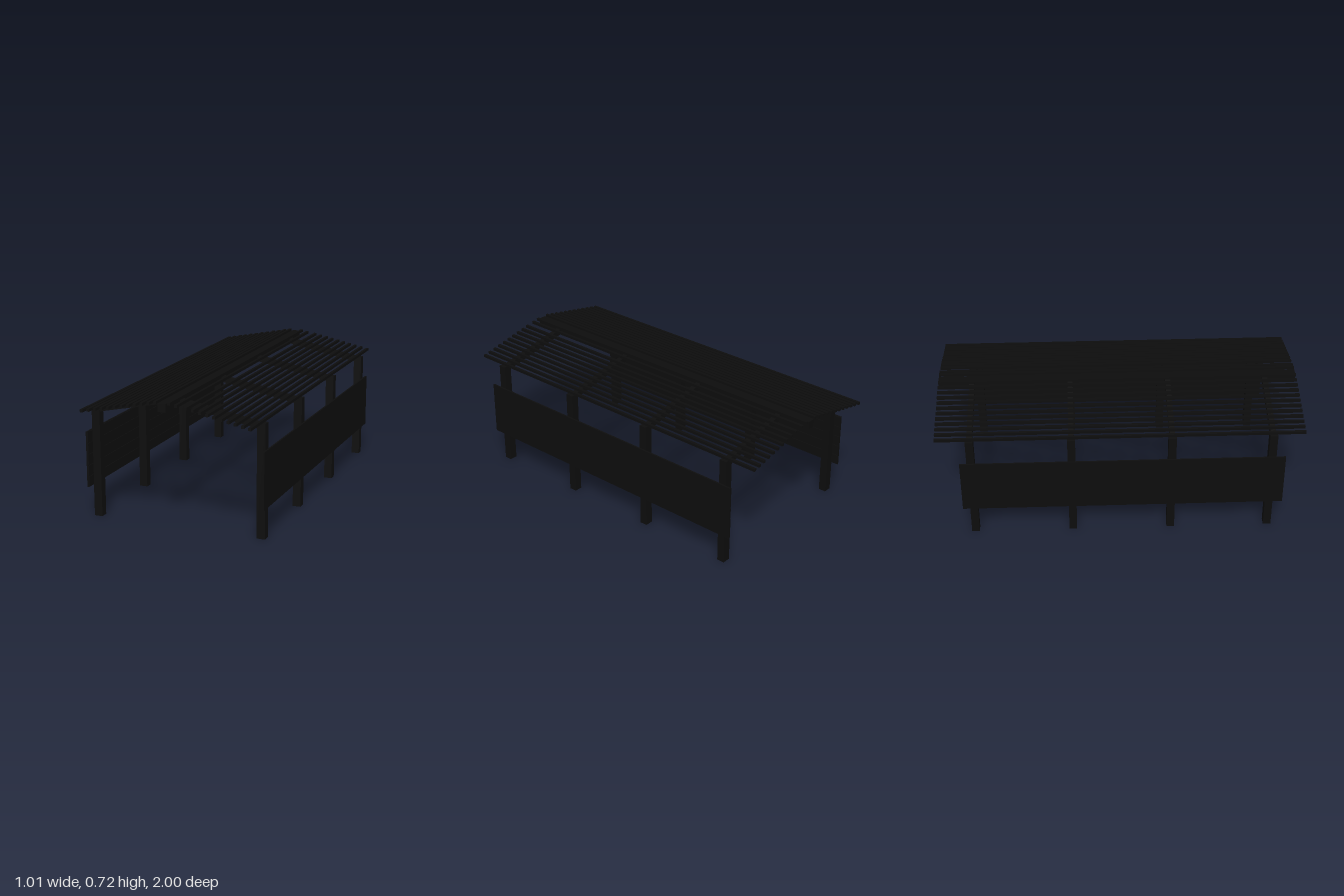
import * as THREE from 'three';

export function createModel() {
  const model = new THREE.Group();
  const material = new THREE.MeshStandardMaterial({ color: 0x0d0d0d });

  const box = (name, w, h, d, x, y, z, parent = model) => {
    const mesh = new THREE.Mesh(new THREE.BoxGeometry(w, h, d), material);
    mesh.name = name;
    mesh.position.set(x, y, z);
    parent.add(mesh);
    return mesh;
  };

  // Sloping beam between two points in the x-y plane
  const beam = (name, x1, y1, x2, y2, z, parent) => {
    const length = Math.hypot(x2 - x1, y2 - y1);
    const mesh = box(name, length, 0.032, 0.03, (x1 + x2) / 2, (y1 + y2) / 2, z, parent);
    mesh.rotation.z = Math.atan2(y2 - y1, x2 - x1);
  };

  // Four frames, each with two posts and two rafters
  for (let i = 0; i < 4; i++) {
    const z = 0.825 - i * 0.546;
    const frame = new THREE.Group();
    frame.name = 'frame' + (i + 1);
    model.add(frame);
    box('rightPost', 0.046, 0.615, 0.043, -0.472, 0.3075, z, frame);
    box('leftPost', 0.046, 0.615, 0.043, 0.465, 0.3075, z, frame);
    beam('rightRafter', -0.47, 0.595, -0.03, 0.689, z, frame);
    beam('leftRafter', 0.015, 0.681, 0.465, 0.597, z, frame);
  }

  // Ridge beam along the full roof
  box('ridgeBeam', 0.044, 0.045, 2, -0.012, 0.685, 0);

  // Roof slats: an even row on the right, a wider gap after the second on the left
  const slats = new THREE.Group();
  slats.name = 'roofSlats';
  model.add(slats);
  for (let i = 0; i < 12; i++) {
    const t = i / 11;
    box('rightSlat', 0.015, 0.015, 2, -0.472 + 0.422 * t, 0.623 + 0.086 * t, 0, slats);
    const x = i < 2 ? 0.027 + i * 0.0385 : 0.119 + (i - 2) * 0.0383;
    box('leftSlat', 0.015, 0.015, 2, x, 0.709 - 0.086 * t, 0, slats);
  }

  // Side walls: horizontal boards, flush outside with shallow joints inside
  for (const [name, outer, side] of [['rightWall', -0.507, -1], ['leftWall', 0.502, 1]]) {
    const wall = new THREE.Group();
    wall.name = name;
    model.add(wall);
    box('backing', 0.009, 0.307, 1.77, outer - side * 0.0045, 0.3275, 0.012, wall);
    const boards = 5, pitch = 0.307 / boards;
    for (let i = 0; i < boards; i++) {
      box('board', 0.005, pitch - 0.006, 1.77, outer - side * 0.0105, 0.174 + pitch * (i + 0.5), 0.012, wall);
    }
  }

  return model;
}
